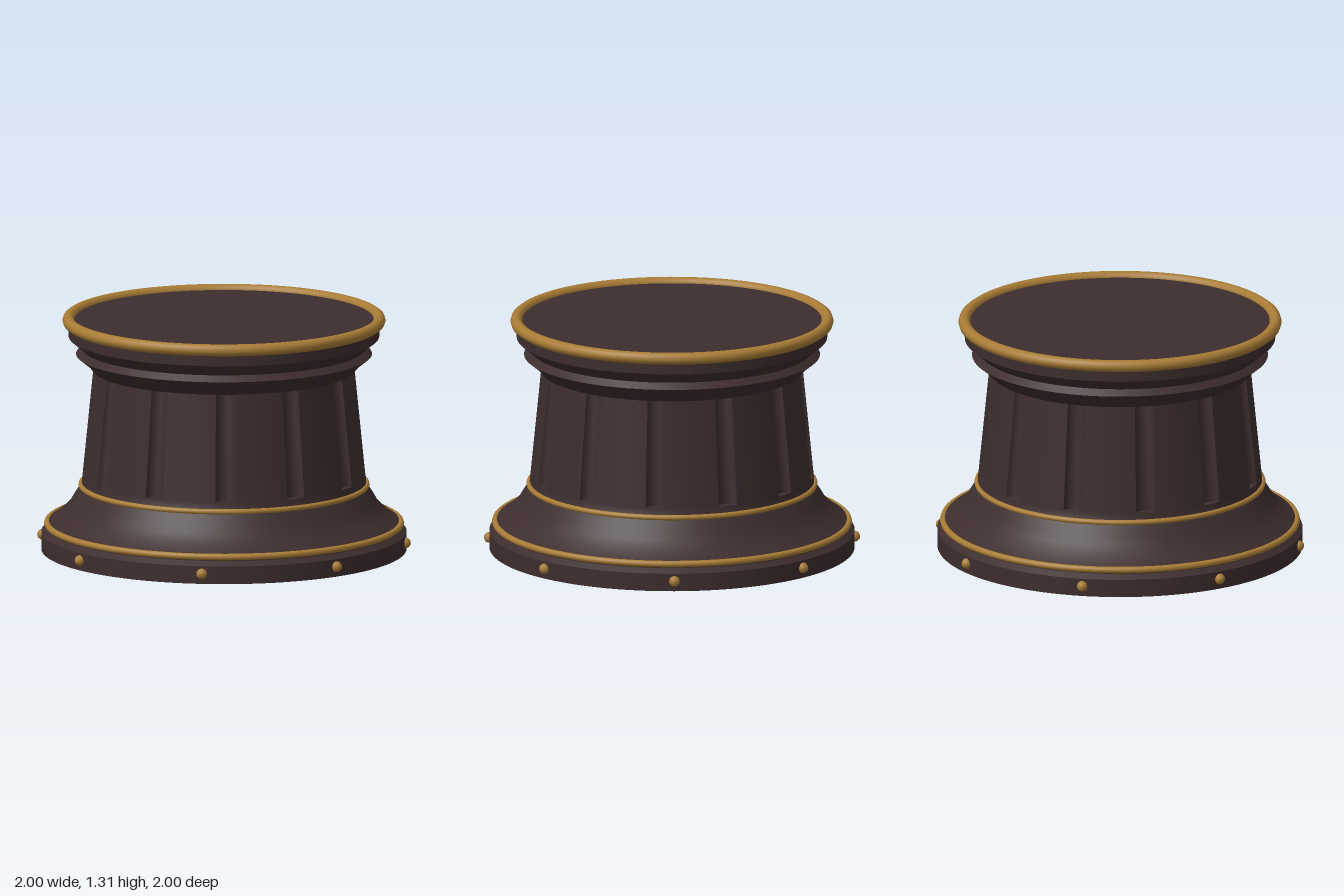
import * as THREE from 'three';
import { toCreasedNormals } from 'three/addons/utils/BufferGeometryUtils.js';

const brown = new THREE.MeshStandardMaterial({ color: 0x3d2d2e });
brown.name = 'dark brown';
const gold = new THREE.MeshStandardMaterial({ color: 0xa87c35 });
gold.name = 'gold';

const FLUTES = 12, STUDS = 8;
const SHAFT_LOW = 0.41, SHAFT_HIGH = 1.0;
const R_LOW = 0.775, R_HIGH = 0.716;

function add(group, name, geometry, material) {
  const mesh = new THREE.Mesh(geometry, material);
  mesh.name = name;
  group.add(mesh);
  return mesh;
}

// Turned part from [radius, height] pairs, bottom to top
function turned(profile) {
  const points = profile.map(([r, y]) => new THREE.Vector2(r, y));
  return toCreasedNormals(new THREE.LatheGeometry(points, 96), 0.5);
}

function ring(group, name, radius, tube, y) {
  const geometry = new THREE.TorusGeometry(radius, tube, 10, 96);
  geometry.rotateX(Math.PI / 2);
  add(group, name, geometry, gold).position.y = y;
}

// Tapered shaft with rounded vertical grooves
function flutedShaft() {
  const points = [];
  const pitch = (Math.PI * 2) / FLUTES, half = 0.07, depth = 0.045;
  const polar = (r, a) => points.push(new THREE.Vector2(r * Math.cos(a), r * Math.sin(a)));
  for (let i = 0; i < FLUTES; i++) {
    const a = i * pitch;
    for (let k = 0; k <= 10; k++) {
      const t = (Math.PI * k) / 10;
      polar(R_LOW - depth * Math.sin(t), a - half * Math.cos(t));
    }
    for (let k = 1; k < 7; k++) polar(R_LOW, a + half + ((pitch - 2 * half) * k) / 7);
  }
  const height = SHAFT_HIGH - SHAFT_LOW;
  const geometry = new THREE.ExtrudeGeometry(new THREE.Shape(points), {
    depth: height, bevelEnabled: false, steps: 1,
  });
  geometry.rotateX(-Math.PI / 2);
  const p = geometry.attributes.position;
  for (let i = 0; i < p.count; i++) {
    const s = THREE.MathUtils.lerp(1, R_HIGH / R_LOW, p.getY(i) / height);
    p.setXYZ(i, p.getX(i) * s, p.getY(i) + SHAFT_LOW, p.getZ(i) * s);
  }
  return toCreasedNormals(geometry, 0.5);
}

export function createModel() {
  const group = new THREE.Group();
  group.name = 'pedestal';

  // Plinth, flared foot and the ledge under the grooves
  add(group, 'base', turned([
    [0, 0], [1, 0], [1, 0.098], [0.965, 0.122], [0.965, 0.155], [0.94, 0.17],
    [0.89, 0.208], [0.848, 0.25], [0.822, 0.295], [0.79, 0.345], [0.78, 0.36],
    [R_LOW, SHAFT_LOW], [0.68, SHAFT_LOW],
  ]), brown);

  add(group, 'flutedShaft', flutedShaft(), brown);

  // Stepped crown and flat top
  add(group, 'crown', turned([
    [0.62, SHAFT_HIGH], [R_HIGH, SHAFT_HIGH], [0.75, 1.04], [0.81, 1.088], [0.775, 1.12],
    [0.79, 1.137], [0.85, 1.185], [0.85, 1.28], [0, 1.28],
  ]), brown);

  // Gold bands
  ring(group, 'footBand', 0.967, 0.018, 0.145);
  ring(group, 'shaftBand', 0.782, 0.015, 0.36);
  ring(group, 'topRim', 0.851, 0.033, 1.275);

  // Studs around the plinth
  const stud = new THREE.SphereGeometry(0.03, 12, 8);
  for (let i = 0; i < STUDS; i++) {
    const a = ((i + 0.5) * Math.PI * 2) / STUDS;
    add(group, 'stud', stud, gold).position.set(Math.cos(a), 0.056, Math.sin(a));
  }
  return group;
}
